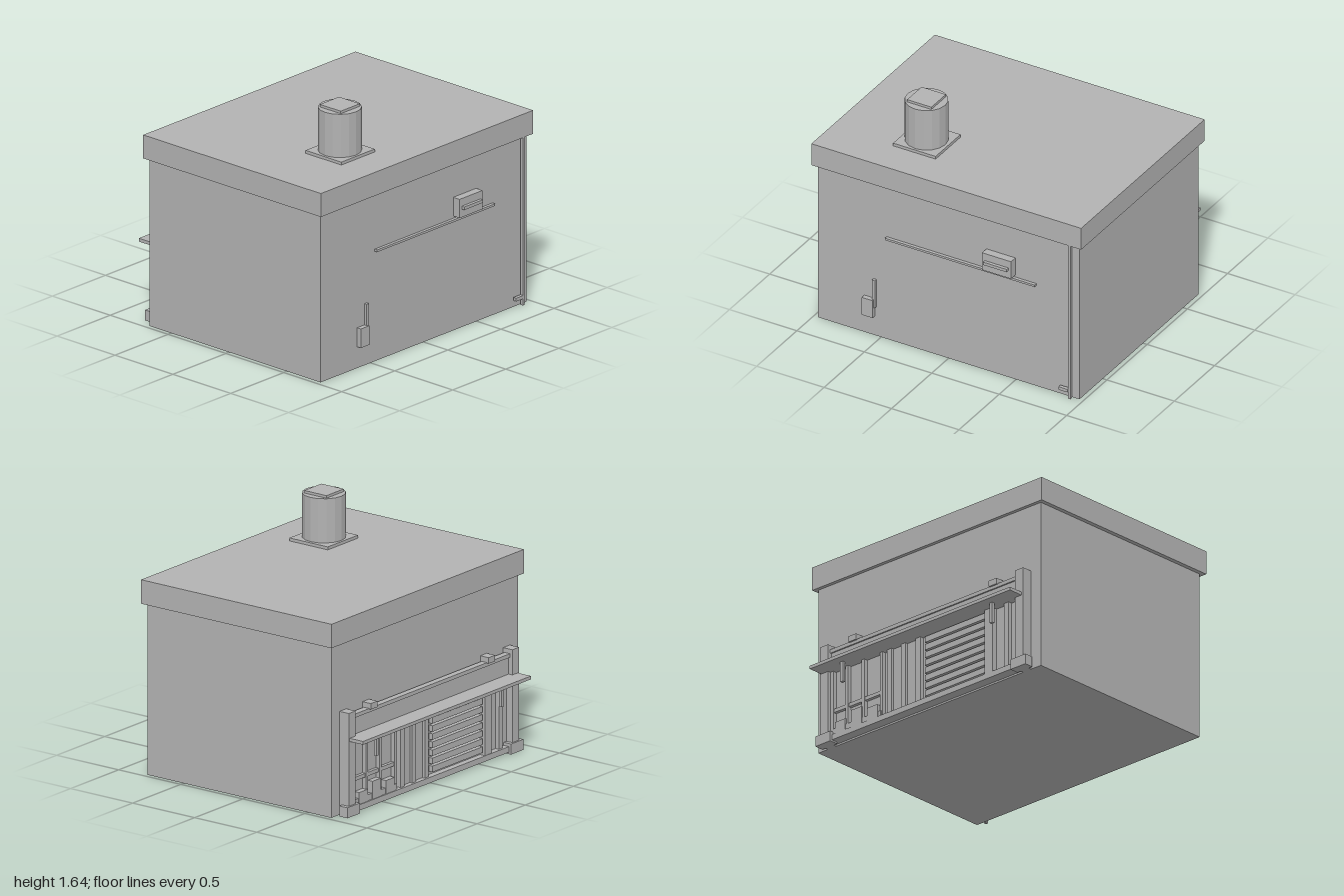
import * as THREE from 'three';

export function createModel() {
  const model = new THREE.Group();
  model.name = 'shopBuilding';
  const grey = new THREE.MeshStandardMaterial({ color: 0xb2b2b2 });
  grey.name = 'plainGrey';

  // Box given by its limits on each axis
  const box = (name, x0, x1, y0, y1, z0, z1, parent = model) => {
    const mesh = new THREE.Mesh(new THREE.BoxGeometry(x1 - x0, y1 - y0, z1 - z0), grey);
    mesh.position.set((x0 + x1) / 2, (y0 + y1) / 2, (z0 + z1) / 2);
    mesh.name = name;
    parent.add(mesh);
    return mesh;
  };
  const group = (name) => {
    const g = new THREE.Group();
    g.name = name;
    model.add(g);
    return g;
  };

  // Main block and overhanging roof slab
  box('walls', -0.69, 0.79, 0, 1.15, -0.97, 0.97);
  box('roof', -0.715, 0.82, 1.145, 1.305, -1, 1);

  // Roof vent: square base, faceted drum, square cap
  const vent = group('roofVent');
  box('ventBase', 0.265, 0.575, 1.3, 1.325, 0.225, 0.54, vent);
  const drumGeometry = new THREE.CylinderGeometry(0.14, 0.14, 0.295, 16).toNonIndexed();
  drumGeometry.computeVertexNormals();
  const drum = new THREE.Mesh(drumGeometry, grey);
  drum.position.set(0.42, 1.4725, 0.385);
  drum.name = 'ventDrum';
  vent.add(drum);
  box('ventCap', 0.33, 0.51, 1.615, 1.637, 0.295, 0.475, vent);

  // Fittings on the +x wall
  const fittings = group('wallFittings');
  box('drainPipe', 0.8, 0.82, 0, 1.145, -0.92, -0.902, fittings);
  box('drainSpout', 0.8, 0.825, 0.048, 0.07, -0.902, -0.835, fittings);
  box('cableRail', 0.79, 0.812, 0.75, 0.765, -0.65, 0.46, fittings);
  box('wallUnit', 0.79, 0.845, 0.78, 0.908, -0.495, -0.28, fittings);
  box('wallUnitBar', 0.84, 0.867, 0.835, 0.856, -0.475, -0.3, fittings);
  box('meterBox', 0.79, 0.823, 0.145, 0.275, 0.545, 0.625, fittings);
  box('meterPipe', 0.79, 0.81, 0.215, 0.42, 0.535, 0.557, fittings);

  // Shopfront on the -x wall: backing, plinth, header and awning
  const shop = group('shopfront');
  box('shopBacking', -0.717, -0.69, 0.012, 0.65, -0.88, 0.88, shop);
  box('plinth', -0.76, -0.71, 0.012, 0.05, -0.8, 0.8, shop);
  box('signBoard', -0.735, -0.71, 0.5, 0.64, -0.82, 0.82, shop);
  box('cornice', -0.745, -0.7, 0.635, 0.66, -0.82, 0.82, shop);
  box('awning', -0.872, -0.73, 0.5, 0.522, -0.875, 0.87, shop);

  // Paired pillars, feet, cornice blocks and awning hangers
  for (const s of [-1, 1]) {
    box('pillar', -0.765, -0.69, 0, 0.69, s * 0.85 - 0.035, s * 0.85 + 0.035, shop);
    box('pillarFoot', -0.777, -0.712, 0, 0.07, s * 0.85 - 0.065, s * 0.85 + 0.065, shop);
    box('corniceBlock', -0.757, -0.69, 0.655, 0.695, s * 0.612 - 0.034, s * 0.612 + 0.034, shop);
    box('awningHanger', -0.815, -0.795, 0.36, 0.505, s * 0.65 - 0.012, s * 0.65 + 0.012, shop);
  }

  // Display window at the -z end: mullions, rails and low displays
  for (const z of [-0.8, -0.67, -0.53, -0.37]) {
    box('windowMullion', -0.745, -0.71, 0.05, 0.5, z - 0.012, z + 0.012, shop);
  }
  box('windowRail', -0.74, -0.71, 0.21, 0.235, -0.8, -0.37, shop);
  box('windowSill', -0.75, -0.71, 0.05, 0.09, -0.8, -0.37, shop);
  for (const [z, h] of [[-0.72, 0.13], [-0.58, 0.17], [-0.44, 0.14]]) {
    box('displayBox', -0.755, -0.71, 0.05, h, z - 0.045, z + 0.045, shop);
  }

  // Door panels
  for (const z of [-0.3, -0.18, -0.05]) {
    box('doorPost', -0.745, -0.71, 0.05, 0.5, z - 0.02, z + 0.02, shop);
  }
  box('doorLeaf', -0.725, -0.71, 0.05, 0.5, -0.3, -0.05, shop);

  // Slatted shutter with its side posts
  for (let i = 0; i < 8; i++) {
    const y = 0.07 + i * 0.054;
    box('shutterSlat', -0.745, -0.71, y, y + 0.04, 0.01, 0.53, shop);
  }
  box('shutterPost', -0.757, -0.71, 0.05, 0.5, 0.54, 0.61, shop);
  box('sidePost', -0.745, -0.71, 0.05, 0.5, 0.7, 0.74, shop);

  return model;
}
